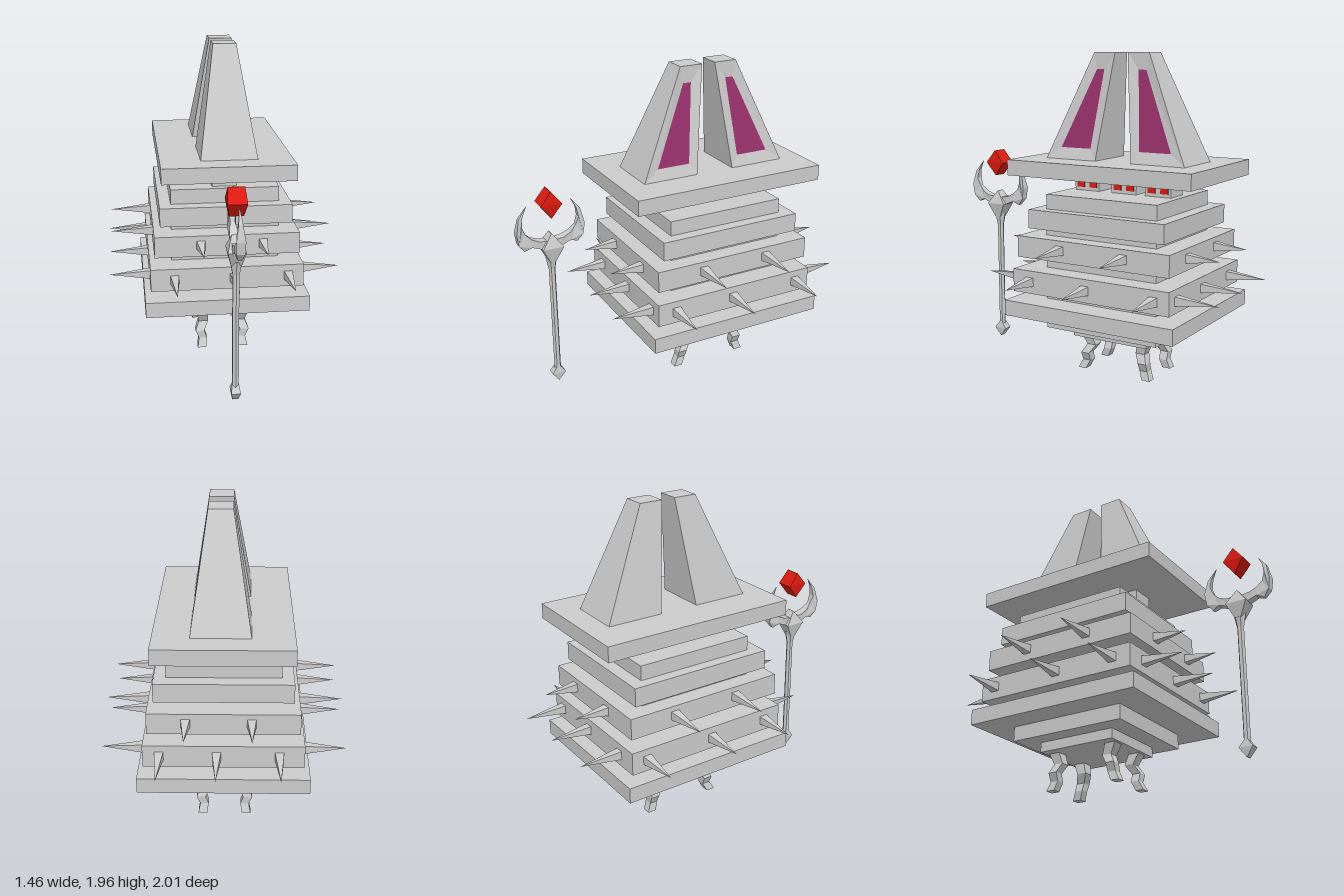
import * as THREE from 'three';

const grey = new THREE.MeshStandardMaterial({ color: 0xcccccc, flatShading: true });
const red = new THREE.MeshStandardMaterial({ color: 0xdd1a10, flatShading: true });
const plum = new THREE.MeshStandardMaterial({ color: 0x98306c, flatShading: true });

function add(parent, name, geometry, material, x = 0, y = 0, z = 0) {
  const mesh = new THREE.Mesh(geometry, material);
  mesh.name = name;
  mesh.position.set(x, y, z);
  parent.add(mesh);
  return mesh;
}

// Geometry from four-cornered faces, corners anticlockwise from outside
function fromQuads(quads) {
  const points = quads.flatMap(([a, b, c, d]) => [a, b, c, a, c, d]).flat();
  const geometry = new THREE.BufferGeometry();
  geometry.setAttribute('position', new THREE.Float32BufferAttribute(points, 3));
  geometry.computeVertexNormals();
  return geometry;
}

// Level rectangle: centre x, y, z and half sizes along x and z
const ring = (x, y, z, hx, hz) => [
  [x - hx, y, z + hz], [x + hx, y, z + hz], [x + hx, y, z - hz], [x - hx, y, z - hz],
];

// Side faces between stacked rings plus both caps
function loftQuads(rings) {
  const quads = [[...rings[0]].reverse(), rings[rings.length - 1]];
  for (let i = 0; i + 1 < rings.length; i++) {
    for (let j = 0; j < 4; j++) {
      const k = (j + 1) % 4;
      quads.push([rings[i][j], rings[i][k], rings[i + 1][k], rings[i + 1][j]]);
    }
  }
  return quads;
}
const loft = (rings) => fromQuads(loftQuads(rings));

// Ear: leaning tapered block with a sunken coloured panel on +x
function makeEar(s) {
  const ear = new THREE.Group();
  ear.name = s > 0 ? 'frontEar' : 'backEar';
  const base = ring(0.015, 1.33, 0.297, 0.17, 0.175);
  const top = ring(0.018, 1.97, 0.115, 0.07, 0.072);
  const outer = [base[1], base[2], top[2], top[1]];
  const inner = [[0.165, 1.4, 0.375], [0.165, 1.4, 0.167], [0.088, 1.87, 0.117], [0.088, 1.87, 0.168]];
  const quads = loftQuads([base, top]).filter((_, i) => i !== 3);
  outer.forEach((p, i) => {
    const k = (i + 1) % 4;
    quads.push([p, outer[k], inner[k], inner[i]]);
  });
  const place = (list) => list.map((q) => {
    const m = q.map(([x, y, z]) => [x, y, z * s]);
    return s > 0 ? m : m.reverse();
  });
  add(ear, 'earShell', fromQuads(place(quads)), grey);
  add(ear, 'innerEar', fromQuads(place([inner])), plum);
  return ear;
}

// Four-sided spike from a base point, pointing along +x or +z (or back)
function makeSpike(parent, x, y, z, dx, dz, length) {
  const geometry = new THREE.ConeGeometry(0.037, length, 4, 1);
  geometry.rotateY(Math.PI / 4);
  geometry.translate(0, length / 2, 0);
  const spike = add(parent, 'spike', geometry, grey, x, y, z);
  spike.quaternion.setFromUnitVectors(new THREE.Vector3(0, 1, 0), new THREE.Vector3(dx, 0, dz));
}

function makeBody() {
  const body = new THREE.Group();
  body.name = 'body';

  // Stacked plates: name, width, depth, bottom, top
  const plates = [
    ['bottomPlate', 0.445, 0.51, 0.24, 0.3],
    ['core', 0.66, 0.755, 0.3, 1.13],
    ['lowestPlate', 1.0, 1.145, 0.39, 0.485],
    ['lowerSpikedPlate', 0.93, 1.06, 0.54, 0.68],
    ['upperSpikedPlate', 0.875, 1.03, 0.75, 0.88],
    ['shoulderPlate', 0.8, 0.92, 0.925, 1.04],
    ['headPlate', 0.79, 1.235, 1.235, 1.33],
  ];
  for (const [name, w, d, y0, y1] of plates) {
    add(body, name, new THREE.BoxGeometry(w, y1 - y0, d), grey, 0, (y0 + y1) / 2, 0);
  }

  // Spikes on all four sides of the two spiked plates
  const rows = [
    { y: 0.613, hx: 0.465, hz: 0.53, lx: 0.245, lz: 0.255, xs: [-0.32, 0.04, 0.37], zs: [-0.43, 0.02, 0.41] },
    { y: 0.822, hx: 0.4375, hz: 0.515, lx: 0.255, lz: 0.205, xs: [-0.16, 0.215], zs: [-0.22, 0.21] },
  ];
  for (const r of rows) {
    for (const s of [1, -1]) {
      r.xs.forEach((x) => makeSpike(body, x, r.y, s * r.hz, 0, s, r.lz));
      r.zs.forEach((z) => makeSpike(body, s * r.hx, r.y, z, s, 0, r.lx));
    }
  }

  // Three eye blocks, each with a pair of eyes
  for (const z of [0.247, -0.013, -0.246]) {
    add(body, 'eyeBlock', new THREE.BoxGeometry(0.15, 0.105, 0.172), grey, 0, 1.1825, z);
    for (const s of [1, -1]) {
      add(body, 'eye', new THREE.BoxGeometry(0.01, 0.065, 0.052), red, 0.074, 1.1825, z + s * 0.043);
    }
  }

  body.add(makeEar(1), makeEar(-1));

  // Crooked legs
  for (const sx of [1, -1]) {
    for (const sz of [1, -1]) {
      const bend = [[0.135, 0.015, -0.02, 0.027], [0.125, 0.07, 0.0, 0.026], [0.145, 0.12, 0.0, 0.028],
        [0.12, 0.175, 0.025, 0.03], [0.13, 0.25, 0.0, 0.036]];
      const shift = (z) => (sz > 0 ? 0.205 - z * 1.4 : -0.19 + z - 0.01);
      add(body, 'leg', loft(bend.map(([x, y, z, h]) => ring(sx * x, y, shift(z), h, h))), grey);
    }
  }
  return body;
}

function makeStaff() {
  const staff = new THREE.Group();
  staff.name = 'staff';
  add(staff, 'pole', new THREE.CylinderGeometry(0.021, 0.021, 0.73, 6), grey, 0, 0.495, 0);
  add(staff, 'collar', new THREE.CylinderGeometry(0.038, 0.022, 0.08, 6), grey, 0, 0.87, 0);
  add(staff, 'pommel', loft([
    ring(0, 0.055, 0, 0.018, 0.002), ring(0, 0.11, 0, 0.027, 0.043), ring(0, 0.165, 0, 0.018, 0.002),
  ]), grey);
  add(staff, 'staffHead', loft([
    ring(0, 0.885, 0, 0.03, 0.02), ring(0, 0.975, 0, 0.052, 0.065), ring(0, 1.06, 0, 0.025, 0.002),
  ]), grey);
  add(staff, 'gem', loft([
    ring(0, 1.165, 0, 0.042, 0.002), ring(0, 1.25, 0, 0.055, 0.065), ring(0, 1.33, 0, 0.047, 0.002),
  ]), red);

  // Curved prongs, thinned at the bend and towards the tip
  const outline = [[0.03, 1.02], [0.075, 1.025], [0.12, 1.045], [0.155, 1.08], [0.175, 1.13], [0.165, 1.19],
    [0.135, 1.25], [0.19, 1.18], [0.21, 1.09], [0.2, 1.02], [0.165, 0.975], [0.12, 0.995], [0.03, 0.96]];
  const shape = new THREE.Shape(outline.reverse().map(([x, y]) => new THREE.Vector2(x, y)));
  const prong = new THREE.ExtrudeGeometry(shape, { depth: 2, bevelEnabled: false });
  prong.translate(0, 0, -1);
  const p = prong.attributes.position;
  for (let i = 0; i < p.count; i++) {
    const x = p.getX(i), y = p.getY(i);
    const half = y > 1.085 ? 0.002 + 0.15 * (1.25 - y) : Math.min(0.028, 0.011 + 0.3 * Math.abs(x - 0.16));
    p.setZ(i, p.getZ(i) * half);
  }
  prong.computeVertexNormals();
  for (const s of [1, -1]) {
    add(staff, s > 0 ? 'frontProng' : 'backProng', prong, grey).rotation.y = -s * Math.PI / 2;
  }
  return staff;
}

export function createModel() {
  const model = new THREE.Group();
  model.name = 'spikedCreature';
  const body = makeBody();
  body.position.z = -0.205;
  const staff = makeStaff();
  staff.position.set(0.038, 0, 0.79);
  for (const part of [body, staff]) part.rotation.y = 0.05;
  model.add(body, staff);
  return model;
}
